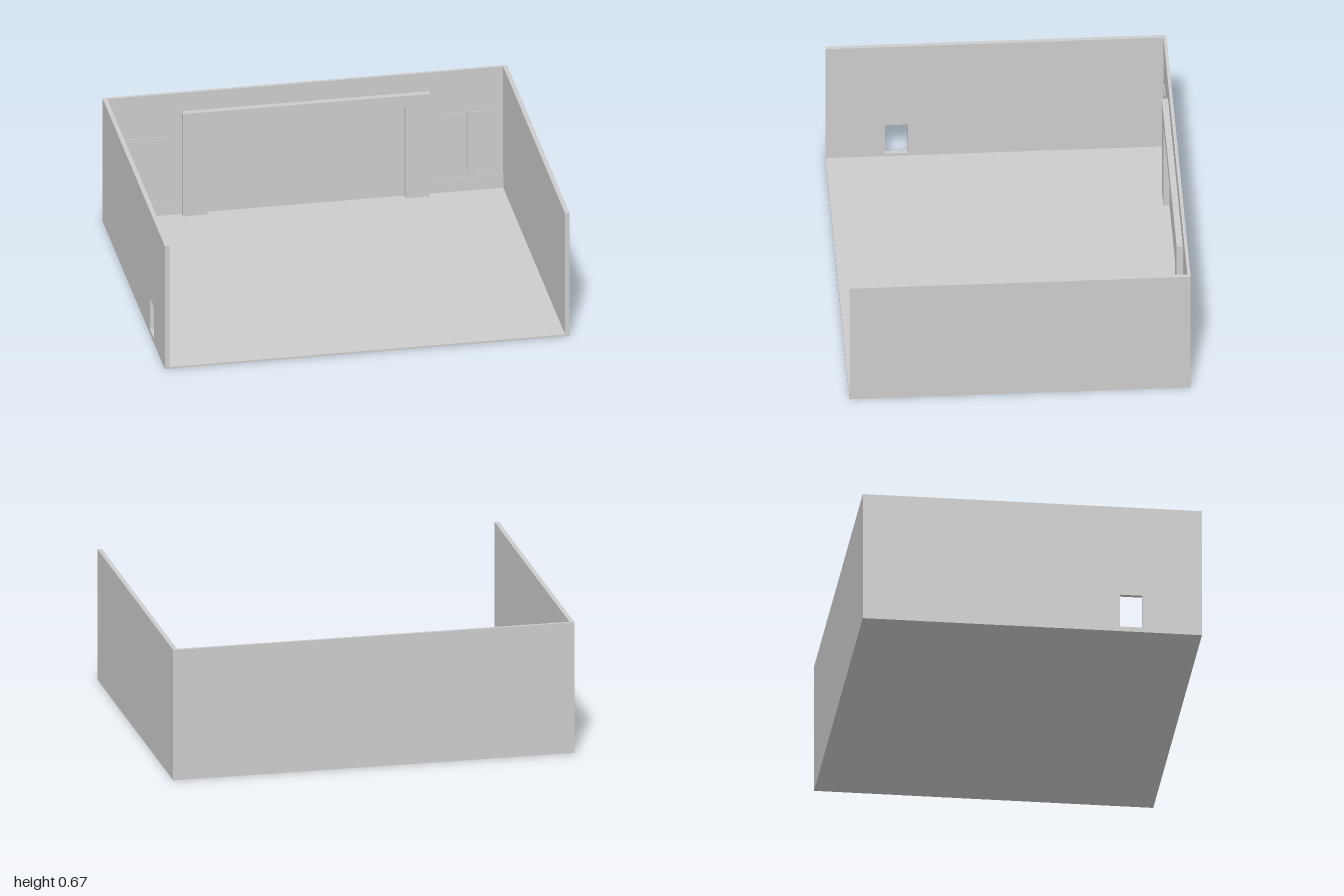
import * as THREE from 'three';

const W = 1, D = 0.83, H = 0.665;        // half width, half depth, height
const SIDE = 0.022, BACK = 0.015, FLOOR = 0.01;

export function createModel() {
  const group = new THREE.Group();
  const grey = new THREE.MeshStandardMaterial({ color: 0xcccccc });
  grey.name = 'plain grey';

  const add = (name, geometry) => {
    const mesh = new THREE.Mesh(geometry, grey);
    mesh.name = name;
    group.add(mesh);
    return mesh;
  };
  // Box given by its limits on each axis
  const box = (name, x0, x1, y0, y1, z0, z1) =>
    add(name, new THREE.BoxGeometry(x1 - x0, y1 - y0, z1 - z0)
      .translate((x0 + x1) / 2, (y0 + y1) / 2, (z0 + z1) / 2));
  const polygon = (Type, points) => new Type(points.map(p => new THREE.Vector2(...p)));

  // Room shell, open at the front and top
  const inner = -D + BACK;
  box('floor', -W, W, 0, FLOOR, -D, D);
  box('backWall', -W, W, FLOOR, H, -D, inner);
  box('leftWall', W - SIDE, W, FLOOR, H, inner, D);

  // Right wall with a small doorway; shape x becomes -z after the turn
  const wall = polygon(THREE.Shape, [[-D, FLOOR], [-inner, FLOOR], [-inner, H], [-D, H]]);
  wall.holes.push(polygon(THREE.Path, [[-0.54, 0.025], [-0.54, 0.195], [-0.43, 0.195], [-0.43, 0.025]]));
  const rightWall = add('rightWall', new THREE.ExtrudeGeometry(wall, { depth: SIDE, bevelEnabled: false }));
  rightWall.rotation.y = Math.PI / 2;
  rightWall.position.x = -W;

  // Stage surround on the back wall
  const frame = polygon(THREE.Shape, [
    [-0.61, FLOOR], [-0.49, FLOOR], [-0.49, 0.5], [0.49, 0.5],
    [0.49, FLOOR], [0.61, FLOOR], [0.61, 0.565], [-0.61, 0.565],
  ]);
  add('stageFrame', new THREE.ExtrudeGeometry(frame, { depth: 0.03, bevelEnabled: false }))
    .position.z = inner;

  // Shallow wall panels and skirting on either side of the surround
  for (const s of [-1, 1]) {
    for (const x of [0.735, 0.855]) {
      box('wallPanel', s * x - 0.055, s * x + 0.055, 0.105, 0.435, inner, inner + 0.004);
    }
    const mid = s * (0.61 + W - SIDE) / 2, half = (W - SIDE - 0.61) / 2;
    box('skirting', mid - half, mid + half, FLOOR, 0.085, inner, inner + 0.002);
  }
  return group;
}
